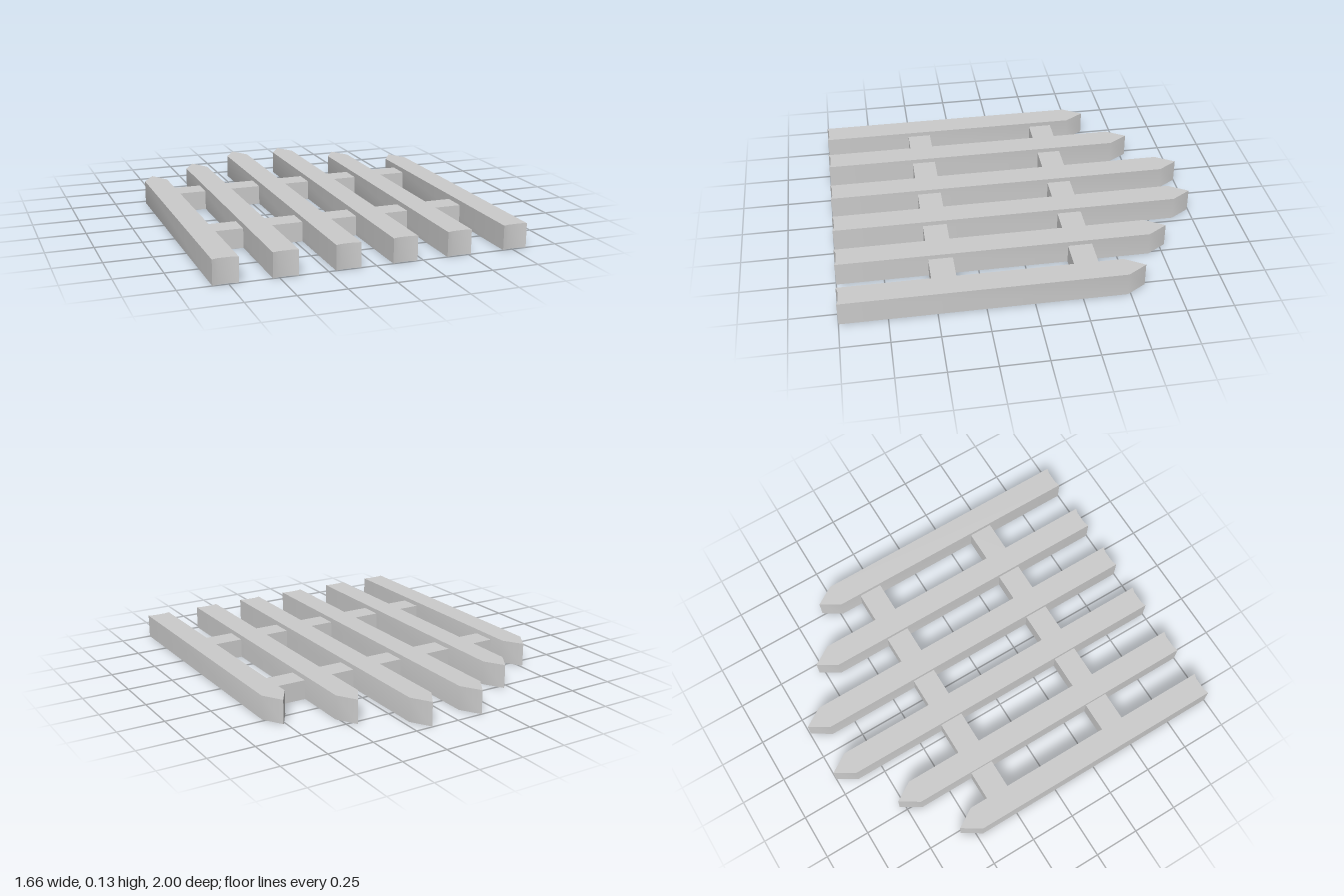
import * as THREE from 'three';
import { toCreasedNormals } from 'three/addons/utils/BufferGeometryUtils.js';

const HALF = 0.065;         // half the width of a picket
const PICKET_HEIGHT = 0.13;
const RAIL_HEIGHT = 0.105;
const POINT = 0.105;        // length of the pointed tip

// [centre x, z of the tip]
const PICKETS = [
  [-0.764, -0.57], [-0.467, -0.78], [-0.147, -1],
  [0.154, -0.995], [0.449, -0.78], [0.763, -0.59],
];
// centre z of the two rails
const RAILS = [-0.295, 0.45];

// Pointed outline with a shallow hollow in the foot, extruded upwards
function picketGeometry(tipZ) {
  const shoulder = -tipZ - POINT;
  const shape = new THREE.Shape([
    [-HALF, -1], [-0.035, -0.991], [0.035, -0.991], [HALF, -1],
    [HALF, shoulder], [0, -tipZ], [-HALF, shoulder],
  ].map(([x, y]) => new THREE.Vector2(x, y)));
  const geometry = new THREE.ExtrudeGeometry(shape, { depth: PICKET_HEIGHT, bevelEnabled: false });
  geometry.rotateX(-Math.PI / 2);
  return toCreasedNormals(geometry, 0.7);
}

export function createModel() {
  const fence = new THREE.Group();
  fence.name = 'picketFence';
  const material = new THREE.MeshStandardMaterial({ color: 0xcccccc });

  // Upright pickets
  PICKETS.forEach(([x, tipZ], i) => {
    const picket = new THREE.Mesh(picketGeometry(tipZ), material);
    picket.name = `picket${i + 1}`;
    picket.position.x = x;
    fence.add(picket);
  });

  // Rails, in sections that fill the gaps between pickets
  RAILS.forEach((z, r) => {
    const rail = new THREE.Group();
    rail.name = r === 0 ? 'upperRail' : 'lowerRail';
    for (let i = 0; i < PICKETS.length - 1; i++) {
      const start = PICKETS[i][0] + HALF;
      const end = PICKETS[i + 1][0] - HALF;
      const section = new THREE.Mesh(new THREE.BoxGeometry(end - start, RAIL_HEIGHT, 0.13), material);
      section.name = `railSection${i + 1}`;
      section.position.set((start + end) / 2, RAIL_HEIGHT / 2, z);
      rail.add(section);
    }
    fence.add(rail);
  });

  return fence;
}
